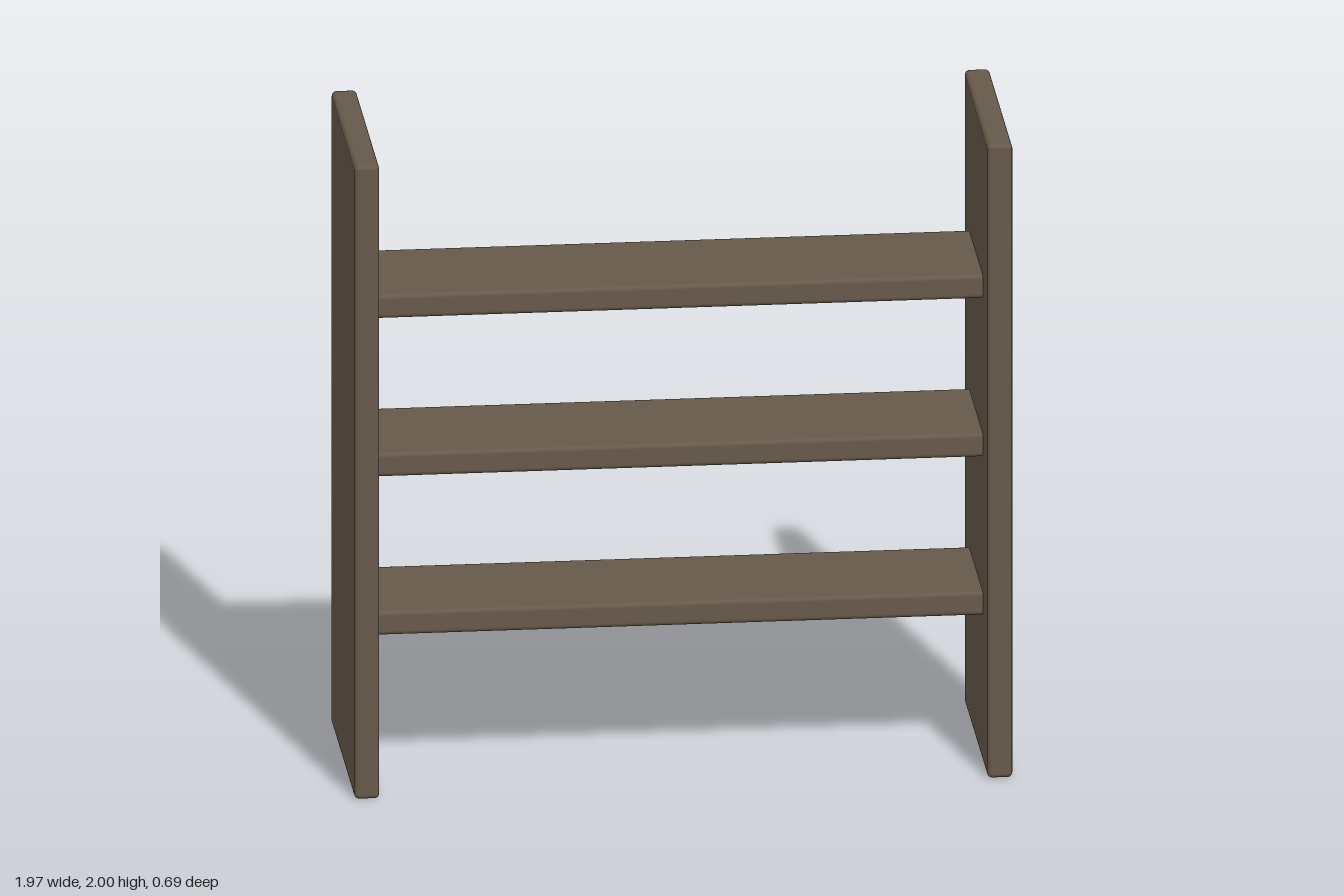
import * as THREE from 'three';
import { RoundedBoxGeometry } from 'three/addons/geometries/RoundedBoxGeometry.js';

const THICKNESS = 0.075;
const BEVEL = 0.014;

export function createModel() {
  const group = new THREE.Group();
  group.name = 'shelfUnit';
  const wood = new THREE.MeshStandardMaterial({ color: 0x66594a });

  function addBoard(name, size, position) {
    const board = new THREE.Mesh(new RoundedBoxGeometry(...size, 2, BEVEL), wood);
    board.name = name;
    board.position.set(...position);
    group.add(board);
  }

  // Upright side panels
  for (const side of [1, -1]) {
    addBoard(side > 0 ? 'leftPanel' : 'rightPanel', [THICKNESS, 2, 0.695], [side * 0.948, 1, 0]);
  }

  // Three shelves, their ends set slightly into the panels
  ['lowerShelf', 'middleShelf', 'upperShelf'].forEach((name, i) => {
    addBoard(name, [1.86, THICKNESS, 0.415], [0, 0.503 + i * 0.5, -0.003]);
  });

  return group;
}
